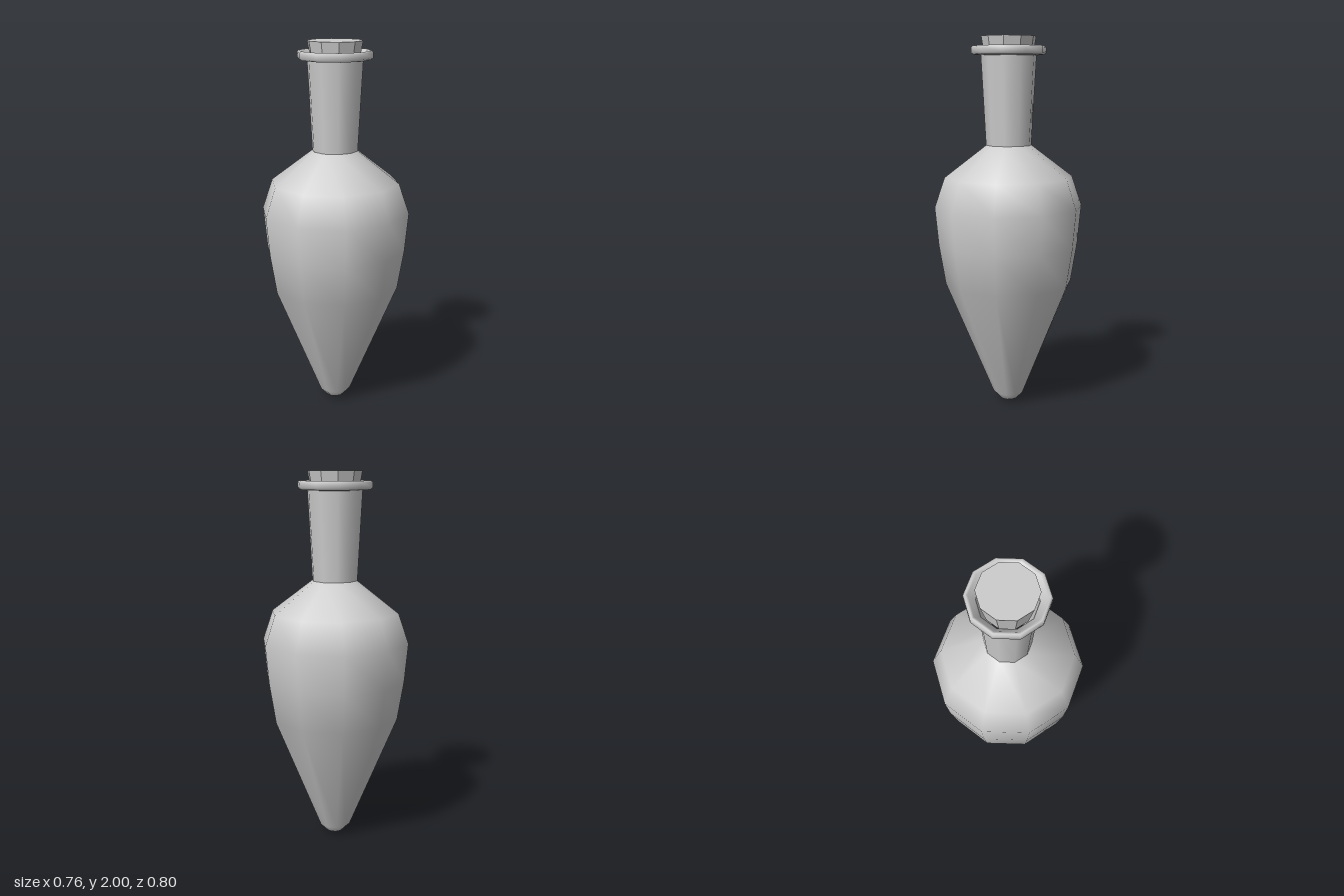
import * as THREE from 'three';

const SIDES = 10;

// Ten-sided turned part with smooth normals, profile given bottom to top as [radius, y]
function turned(name, profile, options = {}) {
  const points = profile.map(([r, y]) => new THREE.Vector2(r, y));
  const material = new THREE.MeshStandardMaterial({ color: 0xcccccc, ...options });
  const mesh = new THREE.Mesh(new THREE.LatheGeometry(points, SIDES), material);
  mesh.name = name;
  return mesh;
}

export function createModel() {
  const flask = new THREE.Group();
  flask.name = 'flask';

  // Teardrop body with a rounded tip and sloping shoulder
  flask.add(turned('body', [
    [0, 0], [0.045, 0.015], [0.085, 0.055], [0.345, 0.68],
    [0.38, 0.89], [0.4, 1.1], [0.345, 1.26], [0.122, 1.43],
  ]));

  // Neck widening slightly towards the mouth
  flask.add(turned('neck', [[0.122, 1.43], [0.148, 1.905]], { side: THREE.DoubleSide }));

  // Rounded lip, dished on the inside
  flask.add(turned('lip', [
    [0.142, 1.9], [0.187, 1.904], [0.2, 1.914], [0.2, 1.942],
    [0.19, 1.95], [0.178, 1.946], [0.145, 1.905],
  ], { side: THREE.DoubleSide }));

  // Faceted stopper tapering into the neck
  const stopper = new THREE.Mesh(
    new THREE.CylinderGeometry(0.146, 0.118, 0.16, SIDES),
    new THREE.MeshStandardMaterial({ color: 0xcccccc, flatShading: true }),
  );
  stopper.name = 'stopper';
  stopper.position.y = 1.92;
  flask.add(stopper);

  return flask;
}
